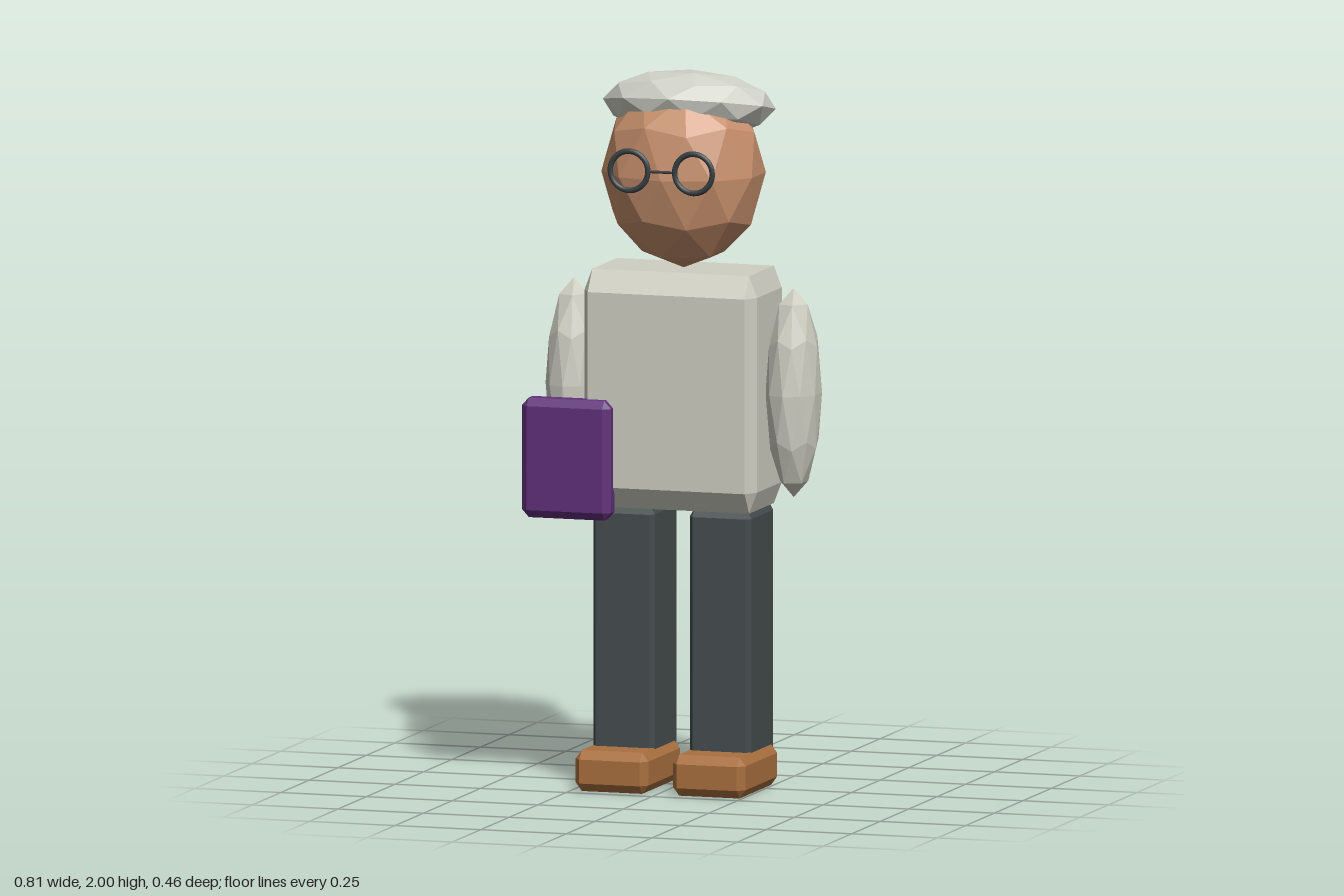
import * as THREE from 'three';
import { ConvexGeometry } from 'three/addons/geometries/ConvexGeometry.js';

function material(name, color) {
  const m = new THREE.MeshStandardMaterial({ color });
  m.name = name;
  return m;
}

// Box given by its min and max corners, with a different chamfer on each axis
function chamferBox(min, max, bevel) {
  const h = min.map((v, i) => (max[i] - v) / 2);
  const points = [];
  for (const sx of [-1, 1]) for (const sy of [-1, 1]) for (const sz of [-1, 1]) {
    for (let full = 0; full < 3; full++) {
      const p = h.map((v, i) => (i === full ? v : v - bevel[i]));
      points.push(new THREE.Vector3(sx * p[0], sy * p[1], sz * p[2]));
    }
  }
  const g = new ConvexGeometry(points);
  g.translate(...min.map((v, i) => (v + max[i]) / 2));
  return g;
}

// Faceted ellipsoid with a vertex at the top
function facetedBall(rx, ry, rz) {
  const g = new THREE.IcosahedronGeometry(1, 1);
  g.rotateZ(-Math.atan2(2, 1 + Math.sqrt(5)));
  g.scale(rx, ry, rz);
  g.computeVertexNormals(); // unshared corners, so this gives flat faces
  return g;
}

export function createModel() {
  const model = new THREE.Group();
  model.name = 'person';

  const shirt = material('shirt', 0xd0cfc3);
  const hairGrey = material('grey hair', 0xd0d1c7);
  const skin = material('skin', 0xc68f6c);
  const trousers = material('trousers', 0x454c4e);
  const leather = material('shoe leather', 0xa9703f);
  const purple = material('book cover', 0x60307a);
  const frame = material('glasses frame', 0x384043);

  const add = (name, geometry, mat, x = 0, y = 0, z = 0) => {
    const mesh = new THREE.Mesh(geometry, mat);
    mesh.name = name;
    mesh.position.set(x, y, z);
    model.add(mesh);
    return mesh;
  };

  const cx = 0.012; // body centre line

  // Body
  add('torso', chamferBox([-0.24, 0.79, -0.137], [0.264, 1.455, 0.16], [0.023, 0.06, 0.04]), shirt);

  // Limbs, mirrored about the centre line
  for (const [side, s] of [['left', 1], ['right', -1]]) {
    add(side + 'Arm', facetedBall(0.076, 0.293, 0.1), shirt, cx + s * 0.321, 1.118, 0.005);
    add(side + 'Leg', chamferBox([-0.09, 0.09, -0.1], [0.09, 0.795, 0.12], [0.012, 0.022, 0.016]),
      trousers, cx + s * 0.141);
    add(side + 'Shoe', chamferBox([-0.106, 0.005, -0.092], [0.106, 0.12, 0.232], [0.018, 0.024, 0.024]),
      leather, cx + s * 0.142);
  }

  // Head and hair, the hair tipped towards the back
  add('head', facetedBall(0.231, 0.268, 0.2), skin, cx, 1.722, 0.007);
  add('hair', facetedBall(0.245, 0.095, 0.192), hairGrey, cx, 1.905, -0.043).rotation.x = -0.2;

  // Glasses
  for (const [side, s] of [['left', 1], ['right', -1]]) {
    add(side + 'Rim', new THREE.TorusGeometry(0.055, 0.008, 8, 28), frame, cx + s * 0.094, 1.747, 0.203);
  }
  const bridge = new THREE.CylinderGeometry(0.004, 0.004, 0.08, 8).rotateZ(Math.PI / 2);
  add('glassesBridge', bridge, frame, cx, 1.747, 0.203);

  // Book held in front of the right hand
  add('book', chamferBox([-0.403, 0.76, 0.128], [-0.143, 1.095, 0.196], [0.02, 0.022, 0.018]), purple);

  return model;
}
